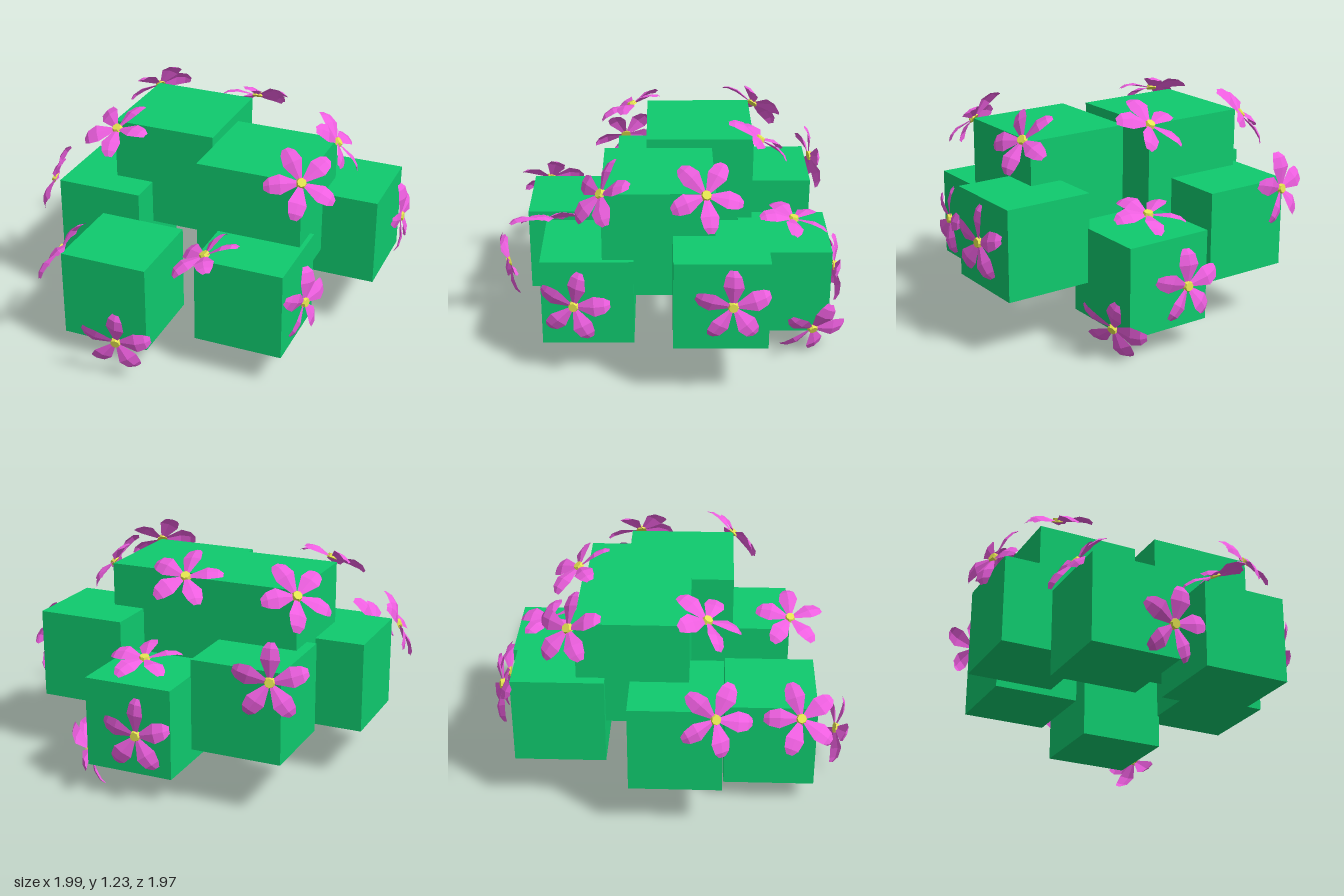
import * as THREE from 'three';

const leafMat = new THREE.MeshStandardMaterial({ color: 0x0fca6e });
const petalMat = new THREE.MeshStandardMaterial({ color: 0xee5fe0, flatShading: true, side: THREE.DoubleSide });
const centreMat = new THREE.MeshStandardMaterial({ color: 0xe6e650, flatShading: true });

// Leaf cubes: size and centre
const cubes = [
  [0.59, -0.295, 0.795, -0.185],
  [0.59, 0.298, 0.745, 0.045],
  [0.49, 0.655, 0.555, -0.275],
  [0.49, -0.615, 0.505, 0.045],
  [0.49, -0.345, 0.355, 0.545],
  [0.49, 0.372, 0.415, 0.42],
  [0.49, 0.175, 0.365, -0.645],
  [0.49, -0.4, 0.525, -0.575],
];

// Flowers: position, facing direction, direction of one petal
const flowers = [
  [[-0.53, 1.09, 0.2], [-0.2, 0.88, 0.42], [0.2, 0.02, 0.05]],
  [[-0.6, 1.07, -0.51], [-0.58, 0.65, -0.5], [0.11, 0, -0.13]],
  [[0.59, 1.04, 0.34], [0.4, 0.6, 0.65], [0.01, -0.15, 0.13]],
  [[-0.6, 0.73, -0.86], [-0.25, 0.15, -0.95], [0, 1, 0]],
  [[0.02, 1.1, -0.51], [-0.12, 0.83, -0.53], [0.01, 0.11, 0.17]],
  [[0.61, 1.04, -0.2], [0.75, 0.6, -0.15], [0.14, -0.18, -0.03]],
  [[0.96, 0.59, -0.33], [1, 0.05, -0.06], [0, 1, 0]],
  [[0.68, 0.43, 0.49], [0.97, 0.05, 0.2], [0, 0.18, -0.03]],
  [[0.19, 0.7, 0.67], [-0.43, 0.9, 0.1], [0.03, 0.03, -0.18]],
  [[-0.21, 0.22, 0.93], [0.15, -0.22, 0.95], [0.02, 0.18, 0.03]],
  [[-0.64, 0.57, 0.7], [-0.78, 0.6, 0.1], [0, 0, -1]],
  [[-0.91, 0.74, 0.25], [-0.88, 0.4, 0.28], [-0.07, -0.18, 0.04]],
  [[0.46, 0.16, -0.8], [0.85, -0.4, -0.3], [-0.08, -0.15, -0.02]],
  [[0.1, 0.36, -0.95], [0, 0.06, -1], [0, 1, 0]],
  [[0.17, 0.69, -0.7], [0, 0.97, -0.2], [0.06, 0, -0.16]],
];

// Five folded petals, each a strip of cross-sections: radius, half width, height
function petalGeometry() {
  const rows = [[0.018, 0.012, 0], [0.115, 0.052, 0.012], [0.17, 0.04, 0.004], [0.198, 0.018, -0.012]];
  const pos = [], index = [];
  for (let p = 0; p < 5; p++) {
    const a = (p / 5) * Math.PI * 2, base = p * rows.length * 3;
    rows.forEach(([r, w, h]) => {
      for (let s = -1; s <= 1; s++) {
        const z = s * w, y = h + s * w * 0.25 + (s ? 0 : w * 0.22);
        pos.push(r * Math.cos(a) + z * Math.sin(a), y, -r * Math.sin(a) + z * Math.cos(a));
      }
    });
    for (let i = 0; i < rows.length - 1; i++) {
      for (let j = 0; j < 2; j++) {
        const k = base + i * 3 + j;
        index.push(k, k + 1, k + 3, k + 1, k + 4, k + 3);
      }
    }
  }
  const g = new THREE.BufferGeometry();
  g.setAttribute('position', new THREE.Float32BufferAttribute(pos, 3));
  g.setIndex(index);
  g.computeVertexNormals();
  return g;
}

function addMesh(parent, name, geometry, material) {
  const m = new THREE.Mesh(geometry, material);
  m.name = name;
  parent.add(m);
  return m;
}

export function createModel() {
  const model = new THREE.Group();
  model.name = 'floweringBush';

  // Foliage blocks
  const foliage = new THREE.Group();
  foliage.name = 'foliage';
  model.add(foliage);
  for (const [size, x, y, z] of cubes) {
    addMesh(foliage, 'leafBlock', new THREE.BoxGeometry(size, size, size), leafMat).position.set(x, y, z);
  }

  // Blossoms
  const petals = petalGeometry();
  const centre = new THREE.CylinderGeometry(0.024, 0.031, 0.022, 8);
  for (const [p, n, d] of flowers) {
    const flower = new THREE.Group();
    flower.name = 'flower';
    const up = new THREE.Vector3(...n).normalize();
    const side = new THREE.Vector3(...d).projectOnPlane(up).normalize();
    const third = side.clone().cross(up);
    flower.quaternion.setFromRotationMatrix(new THREE.Matrix4().makeBasis(side, up, third));
    flower.position.set(...p);
    addMesh(flower, 'petals', petals, petalMat);
    addMesh(flower, 'flowerCentre', centre, centreMat).position.y = 0.005;
    model.add(flower);
  }
  return model;
}
